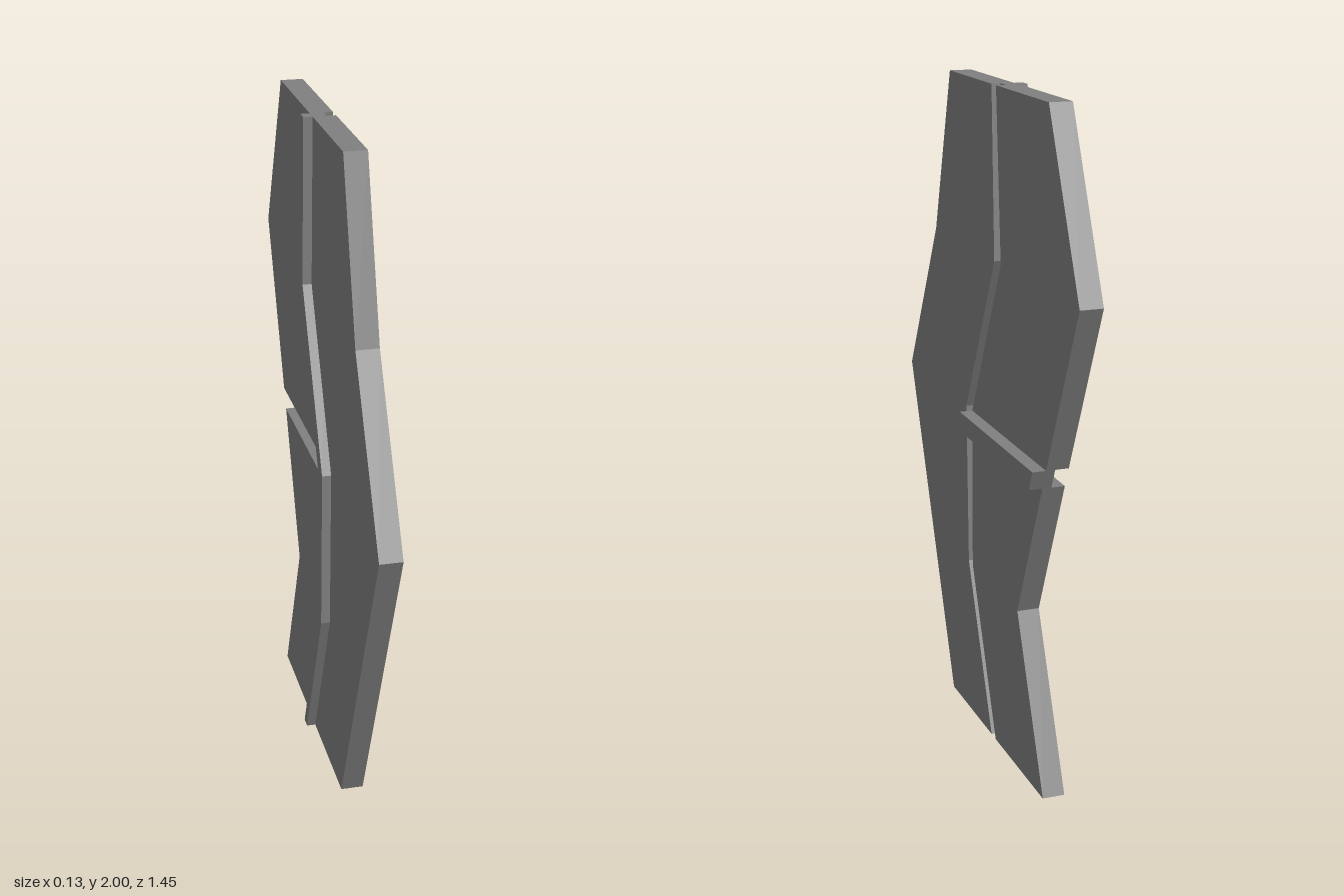
import * as THREE from 'three';

export function createModel() {
  const group = new THREE.Group();
  const grey = new THREE.MeshStandardMaterial({ color: 0x808080 });
  grey.name = 'grey';
  const thickness = 0.067;

  // Extrudes an outline of [z, y] points along x, starting at x0
  function addPanel(name, outline, x0) {
    const shape = new THREE.Shape(outline.map(([z, y]) => new THREE.Vector2(-z, y)));
    const geometry = new THREE.ExtrudeGeometry(shape, { depth: thickness, bevelEnabled: false });
    geometry.rotateY(Math.PI / 2).translate(x0, 0, 0);
    const mesh = new THREE.Mesh(geometry, grey);
    mesh.name = name;
    group.add(mesh);
  }

  // Bent seam lines, top to bottom
  const seamFront = [[-0.06, 2], [-0.083, 1.5], [0.167, 1], [0.15, 0.5], [-0.06, 0]];
  const seamBack = [[-0.097, 2], [-0.137, 1.5], [0.113, 1], [0.113, 0.5], [-0.097, 0]];
  const slabX = -0.04;

  // Three slab panels around the seams
  addPanel('frontPanel', [...seamFront, [0.305, 0], [0.723, 1], [0.45, 1.5], [0.305, 2]], slabX);
  addPanel('upperBackPanel', [...seamBack.slice(0, 3), [-0.5, 1], [-0.723, 1.5], [-0.497, 2]], slabX);
  addPanel('lowerBackPanel',
    [[0.113, 0.94], ...seamBack.slice(3), [-0.497, 0], [-0.282, 0.5], [-0.473, 0.94]], slabX);

  // Rib set towards -x, leaving a groove on the other side
  addPanel('bentRib', [...seamFront, ...seamBack.slice().reverse()], -thickness);

  // Crossbar set towards +x, leaving a channel behind it
  addPanel('crossbar', [[0.113, 1], [0.113, 0.94], [-0.473, 0.94], [-0.5, 1]], 0);

  return group;
}
